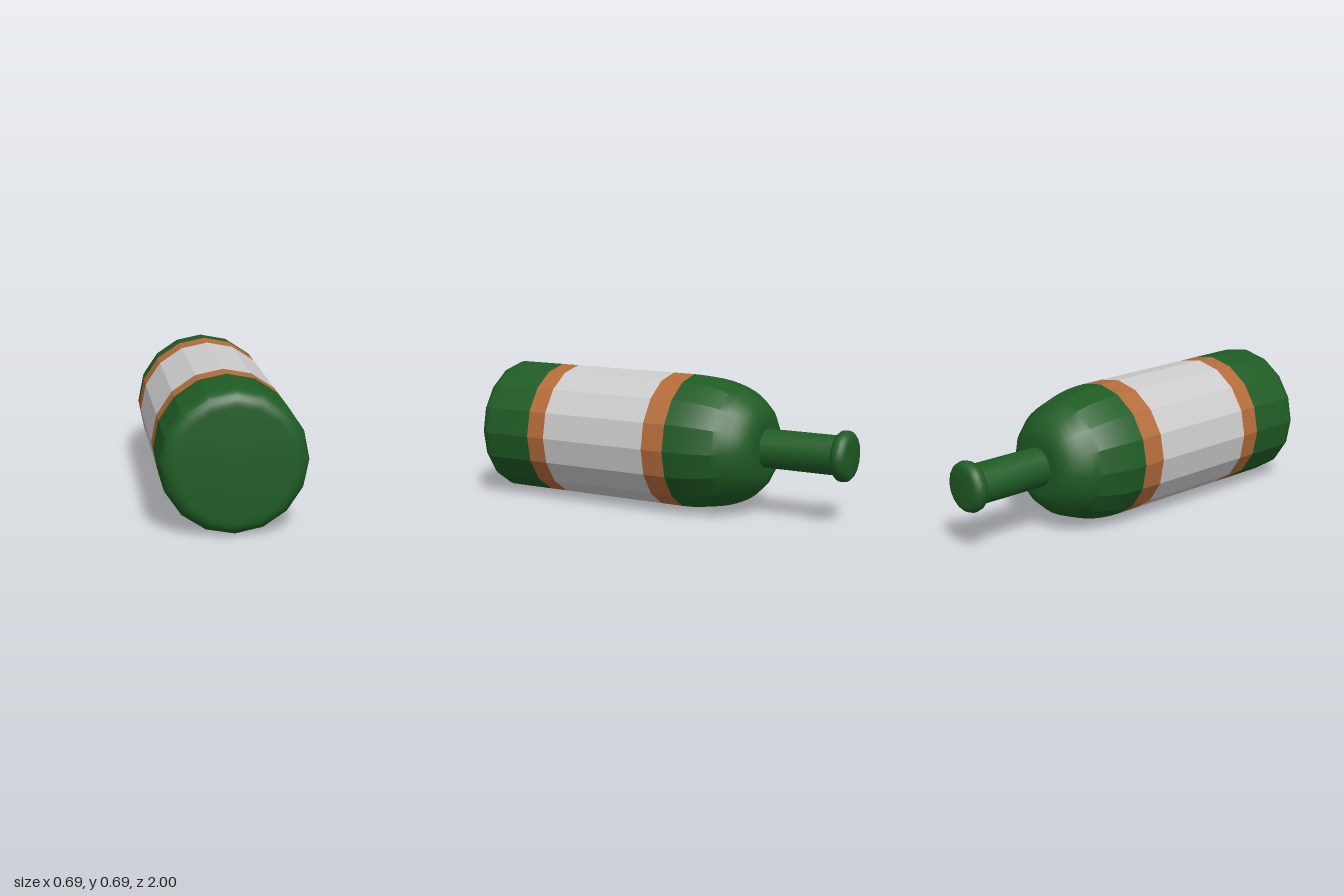
import * as THREE from 'three';
import { toCreasedNormals } from 'three/addons/utils/BufferGeometryUtils.js';

const SIDES = 16;
const R = 0.346; // body radius, also the height of the axis

// Points along a quarter ellipse, from angle a to angle b, as [radius, height]
function arc(cr, ch, rr, rh, a, b, steps) {
  return Array.from({ length: steps + 1 }, (_, i) => {
    const t = a + ((b - a) * i) / steps;
    return [cr + rr * Math.cos(t), ch + rh * Math.sin(t)];
  });
}

export function createModel() {
  const bottle = new THREE.Group();
  bottle.name = 'bottle';
  const glass = new THREE.MeshStandardMaterial({ color: 0x1f5c25 });
  const copper = new THREE.MeshStandardMaterial({ color: 0xb46c3a });
  const paper = new THREE.MeshStandardMaterial({ color: 0xcccccc });

  // Revolves [radius, height] points, then lays them down so height runs to -z
  function turned(name, profile, material, crease = 0.37) {
    const points = profile.map(([r, h]) => new THREE.Vector2(Math.max(r, 0), h));
    const geometry = new THREE.LatheGeometry(points, SIDES).rotateX(-Math.PI / 2);
    const mesh = new THREE.Mesh(toCreasedNormals(geometry, crease), material);
    mesh.name = name;
    mesh.position.y = R;
    bottle.add(mesh);
  }

  // Rounded base
  turned('base', [[0, -1], ...arc(R - 0.075, -0.925, 0.075, 0.075, -Math.PI / 2, 0, 7), [R, -0.68]], glass);

  // Label between two bands
  turned('frontBand', [[R, -0.68], [R, -0.58]], copper);
  turned('label', [[R, -0.58], [R, 0.01]], paper);
  turned('backBand', [[R, 0.01], [R, 0.13]], copper);

  // Domed shoulder
  turned('shoulder', [...arc(0.14, 0.13, 0.206, 0.415, 0, Math.PI / 2, 12), [0, 0.545]], glass);

  // Neck and rolled lip
  turned('neck', [[0.1, 0.54], [0.1, 0.93]], glass, 0.6);
  turned('lip', [[0.097, 0.921], ...arc(0.094, 0.96, 0.034, 0.04, -Math.PI / 2, Math.PI / 2, 8), [0, 1]], glass, 0.6);

  return bottle;
}
